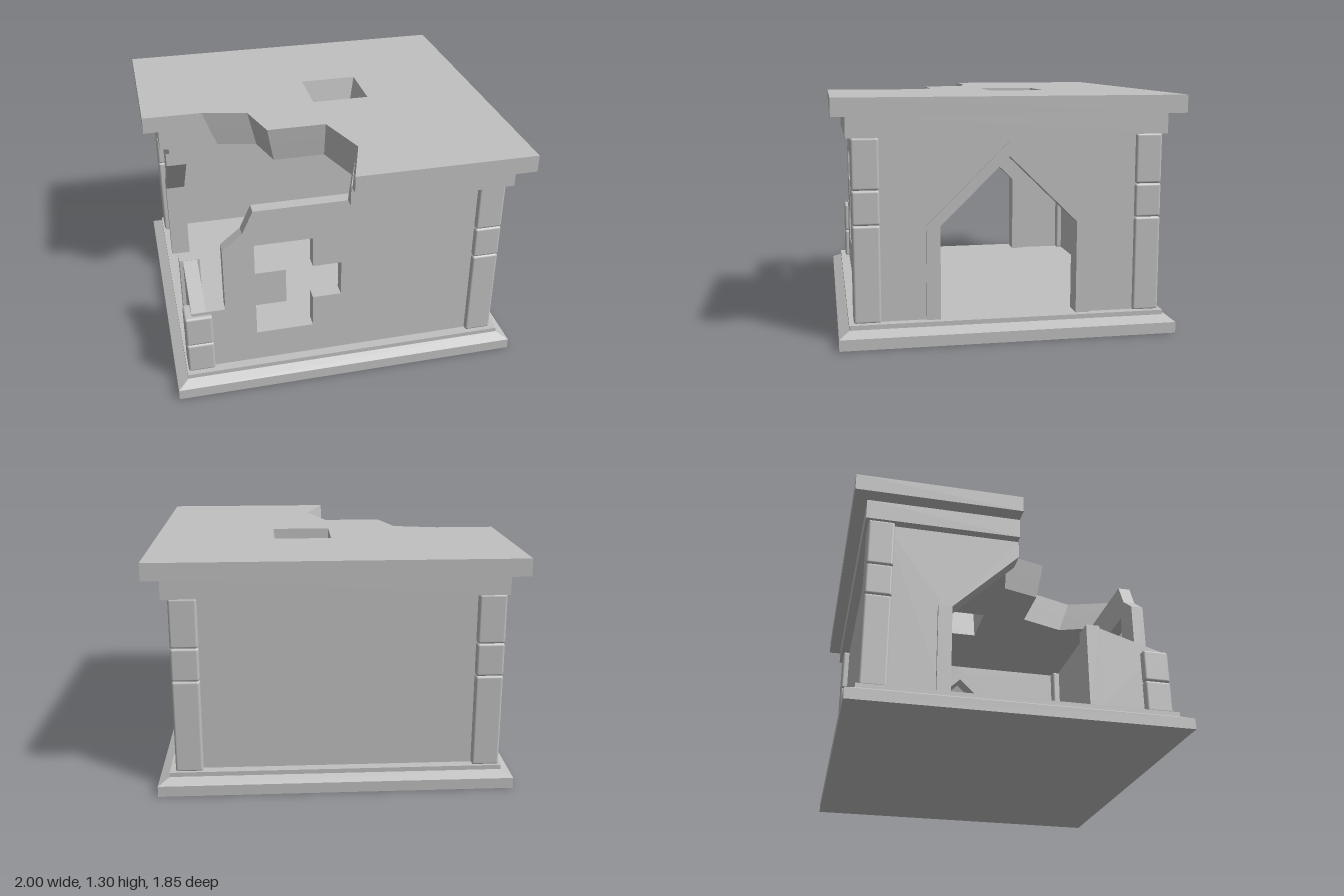
import * as THREE from 'three';
import { RoundedBoxGeometry } from 'three/addons/geometries/RoundedBoxGeometry.js';

export function createModel() {
  const model = new THREE.Group();
  model.name = 'ruinedStoneHouse';
  const stone = new THREE.MeshStandardMaterial({ color: 0xc0c0c0 });
  stone.name = 'greyStone';

  const add = (name, geometry, x = 0, y = 0, z = 0) => {
    const mesh = new THREE.Mesh(geometry, stone);
    mesh.name = name;
    mesh.position.set(x, y, z);
    model.add(mesh);
    return mesh;
  };
  const vectors = pts => pts.map(([a, b]) => new THREE.Vector2(a, b));
  const extrude = (pts, depth, hole) => {
    const shape = new THREE.Shape(vectors(pts));
    if (hole) shape.holes.push(new THREE.Path(vectors(hole)));
    return new THREE.ExtrudeGeometry(shape, { depth, bevelEnabled: false });
  };
  // Profile given in (z, y), running from x0 to x1
  const sidePiece = (name, pts, x0, x1) =>
    add(name, extrude(pts, x1 - x0).rotateY(-Math.PI / 2), x1);

  const FLOOR = 0.115, EAVES = 1.09;

  // Stepped base with a sloping shoulder
  add('baseSlab', new THREE.BoxGeometry(1.95, 0.06, 1.82), 0, 0.03, 0);
  const shoulder = new THREE.BoxGeometry(1.95, 0.03, 1.82);
  const sp = shoulder.attributes.position;
  for (let i = 0; i < sp.count; i++) {
    if (sp.getY(i) > 0) {
      sp.setX(i, Math.sign(sp.getX(i)) * 0.915);
      sp.setZ(i, Math.sign(sp.getZ(i)) * 0.855);
    }
  }
  shoulder.computeVertexNormals();
  add('baseShoulder', shoulder, 0, 0.075, 0);
  add('floor', new THREE.BoxGeometry(1.83, 0.025, 1.71), 0, 0.1025, 0);

  // Front wall: broken left end and a ragged opening
  add('frontWall', extrude(
    [[-0.865, FLOOR], [0.865, FLOOR], [0.865, EAVES], [-0.51, EAVES], [-0.57, 0.96],
      [-0.68, 0.87], [-0.68, 0.49], [-0.865, 0.49]], 0.07,
    [[-0.51, 0.88], [-0.19, 0.88], [-0.19, 0.7], [-0.03, 0.7], [-0.03, 0.49], [-0.19, 0.49],
      [-0.19, 0.3], [-0.51, 0.3], [-0.51, 0.49], [-0.34, 0.49], [-0.34, 0.7], [-0.51, 0.7]]
  ), 0, 0, 0.73);
  add('backWall', new THREE.BoxGeometry(1.73, EAVES - FLOOR, 0.07), 0, (EAVES + FLOOR) / 2, -0.765);

  // Side walls: halves around a pointed doorway
  const wallHalf = s => [[s * 0.74, FLOOR], [s * 0.74, EAVES], [0, EAVES], [0, 1.02],
    [s * 0.41, 0.62], [s * 0.41, FLOOR]];
  const trimHalf = s => [[s * 0.445, FLOOR], [s * 0.445, 0.62], [0, 1.06], [0, 0.98],
    [s * 0.37, 0.62], [s * 0.37, FLOOR]];
  for (const s of [-1, 1]) {
    sidePiece('leftWall', wallHalf(s), 0.79, 0.865);
    sidePiece('leftArchTrim', trimHalf(s), 0.77, 0.88);
  }
  sidePiece('rightWall', wallHalf(-1), -0.865, -0.79);
  sidePiece('rightArchTrim', trimHalf(-1), -0.885, -0.77);

  // Collapsed front part of the right wall
  sidePiece('brokenRightWall', [[0.42, FLOOR], [0.795, FLOOR], [0.795, 0.49], [0.44, 0.6], [0.42, 0.6]],
    -0.865, -0.785);
  sidePiece('brokenDoorPost', [[0.37, FLOOR], [0.445, FLOOR], [0.445, 0.6], [0.37, 0.6]], -0.885, -0.77);

  // Corner pillars of rounded blocks
  const pillar = (name, x, z, joints) => {
    for (let i = 0; i < joints.length - 1; i++) {
      const h = joints[i + 1] - joints[i];
      add(name, new RoundedBoxGeometry(0.15, h, 0.145, 3, 0.014), x, joints[i] + h / 2, z);
    }
  };
  const full = [0.11, 0.633, 0.817, EAVES];
  pillar('frontLeftPillar', 0.807, 0.757, full);
  pillar('backLeftPillar', 0.807, -0.767, full);
  pillar('backRightPillar', -0.83, -0.767, full);
  pillar('brokenPillar', -0.83, 0.752, [0.11, 0.29, 0.472]);

  // Roof slabs: broken corner and hole both taper inward going down
  const roofSlab = (name, X, Z, top, bottom, s0, s1) => {
    const broken = [[0, 0.925], [0.103, 0.61], [0, 0.305], [-0.335, 0.305], [-0.405, 0.06], [-0.66, 0]]
      .map(([x, z]) => [x * s0, Math.min(z * s0, Z - 0.001)]);
    const outline = [[-X, 0], [-X, -Z], [X, -Z], [X, Z], [0, Z], ...broken];
    const hole = [[0, 0], [0.33, 0], [0.33, -0.312], [0, -0.312]].map(([x, z]) => [x * s0, z * s0]);
    const g = extrude(outline, top - bottom, hole);
    const p = g.attributes.position;
    for (let i = 0; i < p.count; i++) {
      const x = p.getX(i), z = p.getY(i);
      const onRim = Math.abs(Math.abs(x) - X) < 1e-4 || Math.abs(Math.abs(z) - Z) < 1e-4;
      if (p.getZ(i) > 1e-4 && !onRim) p.setXY(i, x * s1 / s0, z * s1 / s0);
    }
    g.rotateX(Math.PI / 2);
    g.computeVertexNormals();
    add(name, g, 0, top, 0);
  };
  roofSlab('roofSlab', 1, 0.927, 1.3, 1.205, 1, 0.946);
  roofSlab('roofCornice', 0.915, 0.855, 1.205, EAVES, 0.946, 0.88);

  return model;
}
